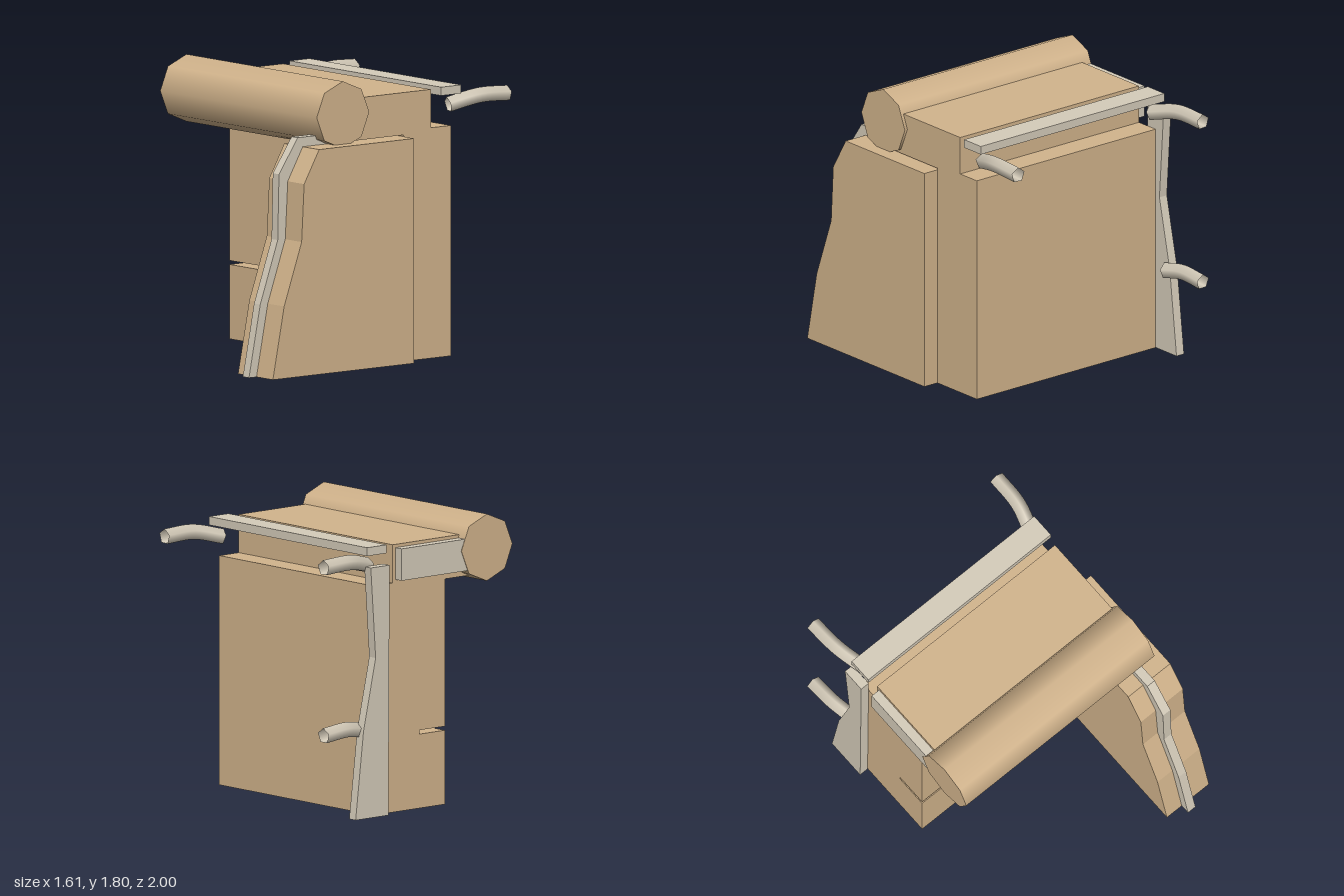
import * as THREE from 'three';

export function createModel() {
  const model = new THREE.Group();
  const tan = new THREE.MeshStandardMaterial({ name: 'tan', color: 0xd2b48c, side: THREE.DoubleSide });
  const grey = new THREE.MeshStandardMaterial({ name: 'warmGrey', color: 0xd5ccba, side: THREE.DoubleSide });

  const add = (name, geometry, material) => {
    const mesh = new THREE.Mesh(geometry, material);
    mesh.name = name;
    model.add(mesh);
    return mesh;
  };

  // Removes the faces lying on the ground, leaving a hollow shell
  const openBottom = (geometry) => {
    const g = geometry.index ? geometry.toNonIndexed() : geometry;
    const p = g.attributes.position;
    const keep = [];
    for (let i = 0; i < p.count; i += 3) {
      if (Math.max(p.getY(i), p.getY(i + 1), p.getY(i + 2)) > 1e-4) keep.push(i, i + 1, i + 2);
    }
    g.clearGroups();
    g.setIndex(keep);
    return g;
  };

  // Box given by its limits
  const box = (x0, x1, y0, y1, z0, z1) =>
    new THREE.BoxGeometry(x1 - x0, y1 - y0, z1 - z0)
      .translate((x0 + x1) / 2, (y0 + y1) / 2, (z0 + z1) / 2);

  // Side profile of [z, y] points, extruded across x
  const profile = (points, x0, x1) => {
    const shape = new THREE.Shape(points.map(([z, y]) => new THREE.Vector2(z, y)));
    return new THREE.ExtrudeGeometry(shape, { depth: x1 - x0, bevelEnabled: false })
      .rotateY(-Math.PI / 2).translate(x1, 0, 0);
  };

  // Seat base: rear shell, two front panels with a gap, and top cushion
  add('rearBody', openBottom(box(-0.735, 0.705, 0, 1.44, -0.57, -0.19)), tan);
  add('lowerFrontPanel', openBottom(box(-0.735, 0.47, 0, 0.465, -0.19, 0.02)), tan);
  add('upperFrontPanel', box(-0.735, 0.47, 0.49, 1.42, -0.19, 0.02), tan);
  add('topBlock', box(-0.735, 0.705, 1.415, 1.68, -0.41, 0.25), tan);

  // Long eight-sided bolster
  add('bolster', new THREE.CylinderGeometry(0.21, 0.21, 1.525, 8)
    .rotateZ(Math.PI / 2).translate(-0.0375, 1.588, 0.31), tan);

  // Side slab with a raised strip running up its front
  add('sideSlab', openBottom(profile([
    [-0.19, 0], [0.94, 0], [0.85, 0.45], [0.71, 0.84], [0.69, 1.2], [0.57, 1.405], [-0.19, 1.405],
  ], 0.47, 0.81)), tan);
  add('slabStrip', openBottom(profile([
    [-0.17, 0], [1, 0], [0.91, 0.45], [0.77, 0.84], [0.76, 1.25], [0.61, 1.465], [0.3, 1.465],
    [0.2, 1.415], [-0.17, 1.415],
  ], 0.59, 0.65)), grey);

  // Rear post, side arm and top rail
  add('rearPost', openBottom(profile([
    [-0.77, 0], [-0.5, 0], [-0.49, 1.57], [-0.645, 1.57], [-0.605, 1], [-0.705, 0.55],
  ], -0.797, -0.737)), grey);
  add('sideArm', box(-0.797, -0.737, 1.46, 1.66, -0.39, 0.3), grey);
  add('topRail', box(-0.752, 0.727, 1.637, 1.69, -0.635, -0.475), grey);

  // Bent, hollow five-sided pipes at the back
  const pipe = (name, points) => {
    const curve = new THREE.CatmullRomCurve3(points.map((p) => new THREE.Vector3(...p)));
    add(name, new THREE.TubeGeometry(curve, 12, 0.05, 5, false), grey);
  };
  pipe('upperRightPipe', [[-0.69, 1.565, -0.58], [-0.745, 1.61, -0.78], [-0.757, 1.605, -1]]);
  pipe('upperLeftPipe', [[0.665, 1.565, -0.58], [0.72, 1.61, -0.78], [0.73, 1.605, -1]]);
  pipe('lowerRightPipe', [[-0.72, 0.545, -0.68], [-0.75, 0.565, -0.82], [-0.757, 0.55, -1]]);

  return model;
}
